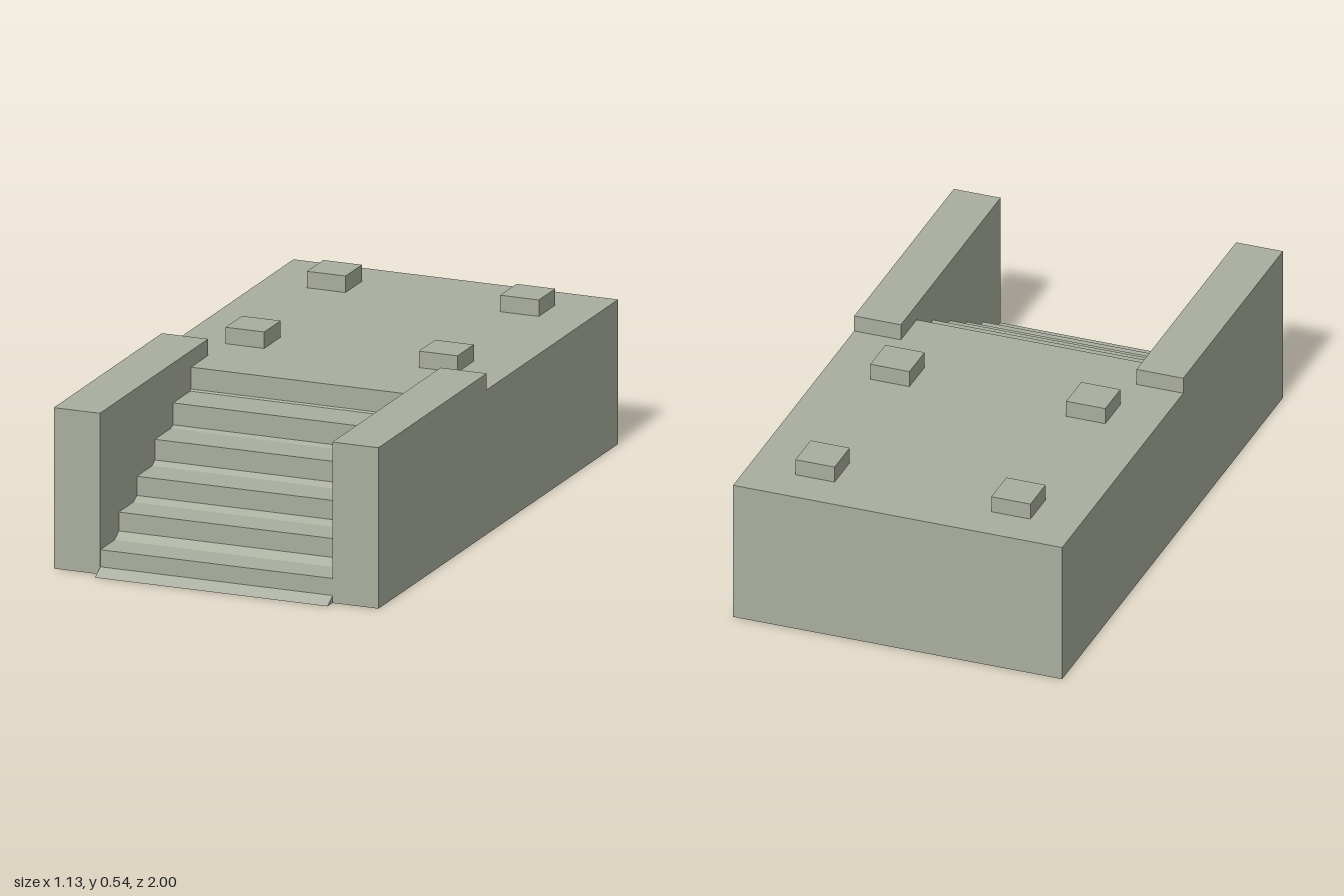
import * as THREE from 'three';

const stone = new THREE.MeshStandardMaterial({ color: 0xa9ae9f });
stone.name = 'stone';

const HALF_STAIR = 0.403, HALF_WIDTH = 0.563;
const DECK = 0.482, TOP = 0.537;

// Extrudes a side profile of [z, y] points across x, from x0 to x1
function slab(name, points, x0, x1) {
  const shape = new THREE.Shape(points.map(([z, y]) => new THREE.Vector2(z, y)));
  const geometry = new THREE.ExtrudeGeometry(shape, { depth: x1 - x0, bevelEnabled: false });
  geometry.rotateY(-Math.PI / 2).translate(x1, 0, 0);
  const mesh = new THREE.Mesh(geometry, stone);
  mesh.name = name;
  return mesh;
}

export function createModel() {
  const group = new THREE.Group();
  group.name = 'steppedPlatform';

  // Each step: slope start z, riser z, riser foot y, tread y
  const steps = [
    [1.0, 0.957, 0.024, 0.081],
    [0.84, 0.805, 0.101, 0.164],
    [0.686, 0.657, 0.178, 0.242],
    [0.534, 0.51, 0.255, 0.324],
    [0.38, 0.362, 0.331, 0.404],
    [0.222, 0.215, 0.409, DECK],
  ];
  const profile = [[-1, 0]];
  let y = 0;
  for (const [slopeZ, riserZ, footY, treadY] of steps) {
    profile.push([slopeZ, y], [riserZ, footY], [riserZ, treadY]);
    y = treadY;
  }
  profile.push([-1, DECK]);
  group.add(slab('stairsAndDeck', profile, -HALF_STAIR, HALF_STAIR));

  // Deck edges rising into the walls beside the stairs
  const side = [[-1, 0], [0.96, 0], [0.96, TOP], [0.075, TOP], [0.075, DECK], [-1, DECK]];
  group.add(slab('leftSideWall', side, HALF_STAIR, HALF_WIDTH));
  group.add(slab('rightSideWall', side, -HALF_WIDTH, -HALF_STAIR));

  // Low square column bases on the deck
  for (const x of [-0.335, 0.335]) {
    for (const z of [-0.132, -0.797]) {
      const base = new THREE.Mesh(new THREE.BoxGeometry(0.134, TOP - DECK, 0.134), stone);
      base.position.set(x, (DECK + TOP) / 2, z);
      base.name = 'columnBase';
      group.add(base);
    }
  }
  return group;
}
